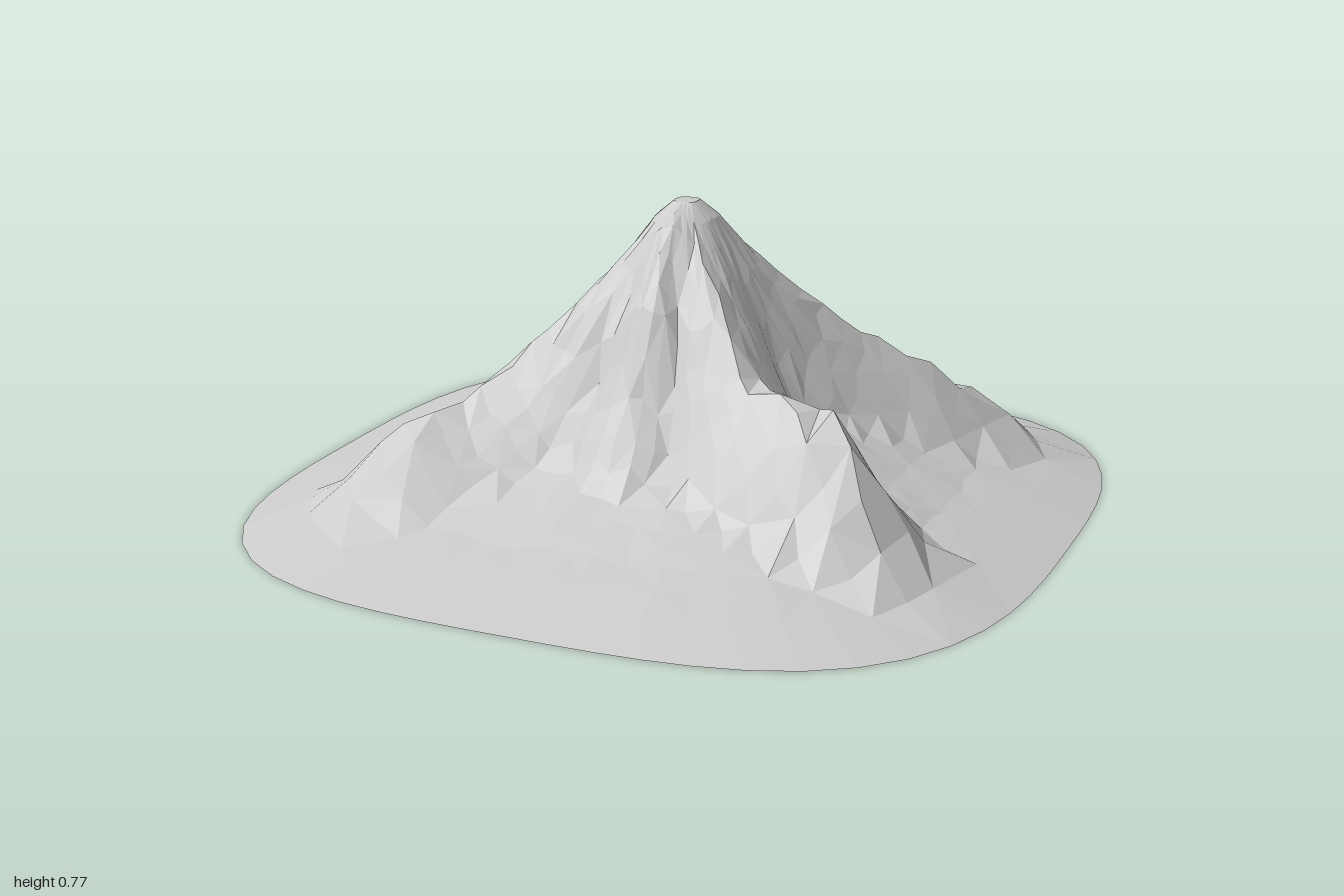
import * as THREE from 'three';

// Cross-section of the gullies: [fraction of the way to the rim, height]
const GULLY = [[0, 0.77], [0.03, 0.765], [0.1, 0.63], [0.2, 0.44], [0.3, 0.3], [0.42, 0.2], [0.55, 0.14], [0.7, 0.08], [0.82, 0.05], [1, 0]];

// Ridge crests running out from the summit: flank width, then [x, z, height] points
const RIDGES = [
  { width: 0.2, crest: [[0.02, 0.05, 0.76], [0.15, 0.19, 0.6], [0.3, 0.31, 0.43], [0.42, 0.35, 0.42], [0.51, 0.38, 0.43], [0.59, 0.42, 0.33], [0.7, 0.47, 0.1]] },
  { width: 0.2, crest: [[-0.03, 0.05, 0.75], [-0.17, 0.18, 0.58], [-0.33, 0.28, 0.41], [-0.44, 0.41, 0.29], [-0.53, 0.5, 0.28], [-0.66, 0.59, 0.13]] },
  { width: 0.18, crest: [[0, 0, 0.77], [0, 0.1, 0.745], [0.01, 0.22, 0.62], [0, 0.31, 0.4]] },
  { width: 0.18, crest: [[0.03, -0.02, 0.76], [0.2, -0.15, 0.56], [0.35, -0.26, 0.42], [0.5, -0.38, 0.33], [0.62, -0.51, 0.22], [0.77, -0.66, 0.07]] },
  { width: 0.16, crest: [[0, 0, 0.77], [0.01, -0.15, 0.67], [0.11, -0.23, 0.5], [0.22, -0.34, 0.34], [0.3, -0.45, 0.21]] },
  { width: 0.17, crest: [[0, -0.12, 0.67], [-0.1, -0.24, 0.48], [-0.19, -0.4, 0.34], [-0.28, -0.68, 0.1]] },
  { width: 0.17, crest: [[-0.03, -0.03, 0.75], [-0.15, -0.13, 0.58], [-0.3, -0.23, 0.42], [-0.45, -0.33, 0.3], [-0.62, -0.44, 0.14]] },
  { width: 0.15, crest: [[-0.04, 0, 0.75], [-0.2, -0.03, 0.56], [-0.33, -0.04, 0.39], [-0.6, -0.07, 0.14]] },
];

const SECTORS = 60;
const RINGS = [0.03, 0.075, 0.12, 0.165, 0.21, 0.26, 0.31, 0.36, 0.41, 0.46, 0.52, 0.58, 0.64, 0.7, 0.77, 0.86, 1];

// Repeatable jitter between -0.5 and 0.5
function jitter(i, j) {
  const v = Math.sin(i * 127.1 + j * 311.7) * 43758.5453;
  return v - Math.floor(v) - 0.5;
}

// Distance from centre to the rounded-square rim
function rimRadius(angle) {
  const c = Math.abs(Math.cos(angle)), s = Math.abs(Math.sin(angle));
  return Math.pow(c ** 3.2 + s ** 3.2, -1 / 3.2);
}

function gullyHeight(s) {
  for (let i = 1; i < GULLY.length; i++) {
    const [s0, h0] = GULLY[i - 1], [s1, h1] = GULLY[i];
    if (s <= s1) return h0 + (h1 - h0) * (s - s0) / (s1 - s0);
  }
  return 0;
}

// Ground level, raised towards the nearest ridge crests and fading out at the rim
function heightAt(x, z, s) {
  const ground = gullyHeight(s);
  const fade = 1 - THREE.MathUtils.smoothstep(s, 0.76, 0.92);
  let height = ground;
  for (const { width, crest } of RIDGES) {
    for (let i = 1; i < crest.length; i++) {
      const [x0, z0, h0] = crest[i - 1], [x1, z1, h1] = crest[i];
      const dx = x1 - x0, dz = z1 - z0;
      const t = THREE.MathUtils.clamp(((x - x0) * dx + (z - z0) * dz) / (dx * dx + dz * dz), 0, 1);
      const d = Math.hypot(x - x0 - t * dx, z - z0 - t * dz);
      const flank = fade * Math.max(0, 1 - d / width);
      height = Math.max(height, ground + (h0 + t * (h1 - h0) - ground) * flank);
    }
  }
  return height;
}

// Faceted terrain: irregular rings around the summit, open underneath
function terrainGeometry() {
  const positions = [0, 0.77, 0];
  const last = RINGS.length - 1;
  RINGS.forEach((ring, r) => {
    for (let i = 0; i < SECTORS; i++) {
      const rim = r === last;
      const angle = (i + (rim ? 0 : 0.4 * jitter(i, r))) / SECTORS * Math.PI * 2;
      const s = rim ? 1 : ring + 0.022 * jitter(i + 71, r) * Math.min(1, ring * 4);
      const radius = s * rimRadius(angle);
      const x = radius * Math.cos(angle), z = radius * Math.sin(angle);
      const rough = rim || r < 2 ? 0 : 0.012 * jitter(i + 13, r + 40) * (1 - ring);
      positions.push(x, heightAt(x, z, s) + rough, z);
    }
  });

  const index = [];
  const at = (r, i) => 1 + r * SECTORS + (i % SECTORS);
  for (let i = 0; i < SECTORS; i++) {
    index.push(0, at(0, i + 1), at(0, i));
    for (let r = 0; r < last; r++) {
      const a = at(r, i), b = at(r, i + 1), c = at(r + 1, i), d = at(r + 1, i + 1);
      if ((i + r) % 2) index.push(a, b, c, b, d, c);
      else index.push(a, b, d, a, d, c);
    }
  }

  const geometry = new THREE.BufferGeometry();
  geometry.setAttribute('position', new THREE.Float32BufferAttribute(positions, 3));
  geometry.setIndex(index);
  geometry.computeVertexNormals();
  return geometry;
}

export function createModel() {
  const group = new THREE.Group();
  group.name = 'mountain';
  const material = new THREE.MeshStandardMaterial({ color: 0xcccccc, flatShading: true, side: THREE.DoubleSide });
  const terrain = new THREE.Mesh(terrainGeometry(), material);
  terrain.name = 'mountainTerrain';
  group.add(terrain);
  return group;
}
